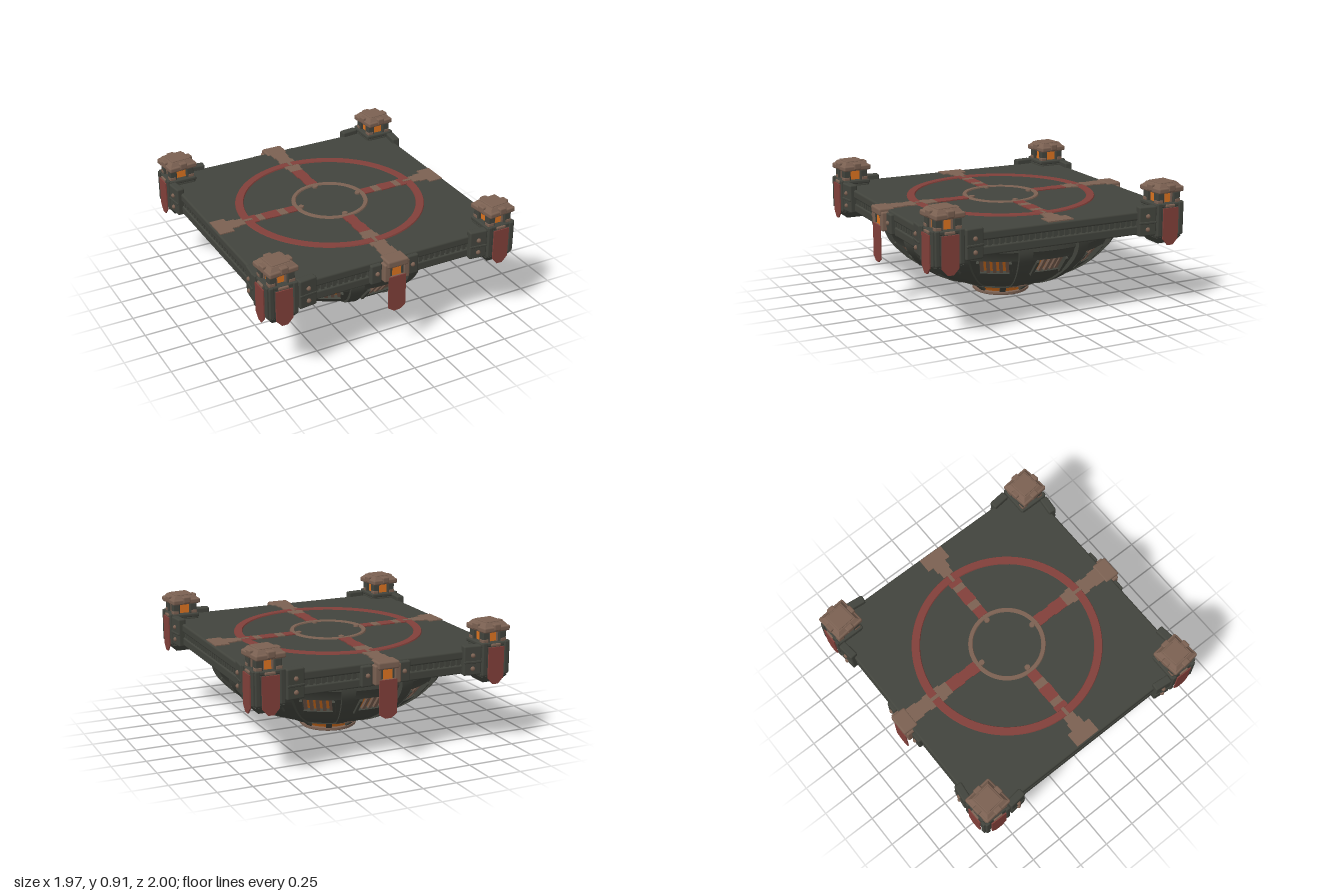
import * as THREE from 'three';
import { toCreasedNormals } from 'three/addons/utils/BufferGeometryUtils.js';
import { RoundedBoxGeometry } from 'three/addons/geometries/RoundedBoxGeometry.js';

const material = (name, color) => {
  const m = new THREE.MeshStandardMaterial({ color });
  m.name = name;
  return m;
};
const DARK = material('dark iron', 0x42443d);
const BROWN = material('bronze brown', 0x7b6152);
const RED = material('banner red', 0x82403a);
const GLOW = material('ember orange', 0xdd7420);
const V2 = (p) => new THREE.Vector2(p[0], p[1]);

function add(parent, name, geometry, mat, x = 0, y = 0, z = 0) {
  const mesh = new THREE.Mesh(geometry, mat);
  mesh.name = name;
  mesh.position.set(x, y, z);
  parent.add(mesh);
  return mesh;
}
function box(parent, name, mat, w, h, d, x, y, z, r = 0) {
  const g = r ? new RoundedBoxGeometry(w, h, d, 2, r) : new THREE.BoxGeometry(w, h, d);
  return add(parent, name, g, mat, x, y, z);
}
function lathe(parent, name, mat, pts, seg = 72, start = 0, length = Math.PI * 2) {
  const g = new THREE.LatheGeometry(pts.map(V2), seg, start, length);
  return add(parent, name, toCreasedNormals(g, 0.5), mat);
}
function group(parent, name, x = 0, y = 0, z = 0, turn = 0) {
  const g = new THREE.Group();
  g.name = name;
  g.position.set(x, y, z);
  g.rotation.y = turn;
  parent.add(g);
  return g;
}
// Hanging cloth or shield with a pointed lower end
function banner(parent, name, mat, w, top, shoulder, tip, x, z, depth = 0.009) {
  const h = w / 2;
  const s = new THREE.Shape([[-h, top], [-h, shoulder], [-h * 0.35, tip], [h * 0.35, tip], [h, shoulder], [h, top]].map(V2));
  return add(parent, name, new THREE.ExtrudeGeometry(s, { depth, bevelEnabled: false }), mat, x, 0, z);
}
function bolt(parent, x, y, z) {
  add(parent, 'bolt', new THREE.SphereGeometry(0.017, 10, 8), BROWN, x, y, z);
}

// Square deck with a toothed groove around its edge
function addDeck(root) {
  const deck = group(root, 'deck');
  box(deck, 'deckTop', DARK, 1.86, 0.065, 1.86, 0, 0.69, 0, 0.015);
  box(deck, 'deckGroove', DARK, 1.8, 0.06, 1.8, 0, 0.635, 0);
  box(deck, 'deckBeam', DARK, 1.85, 0.065, 1.85, 0, 0.585, 0, 0.012);
  for (let k = 0; k < 4; k++) {
    const side = group(deck, 'deckEdge', 0, 0, 0, k * Math.PI / 2);
    for (let i = -13; i <= 13; i++) box(side, 'edgeTooth', DARK, 0.026, 0.045, 0.02, i * 0.045, 0.637, 0.907);
  }
}

// Rings and straps inlaid on the deck
function addDial(root) {
  const dial = group(root, 'dial');
  const ring = (name, mat, ri, ro, top) =>
    lathe(dial, name, mat, [[ro, 0.715], [ro - 0.008, top], [ri + 0.008, top], [ri, 0.715]], 80);
  ring('outerRing', RED, 0.63, 0.7, 0.731);
  ring('innerRing', BROWN, 0.245, 0.287, 0.731);
  const longStrap = [[0.28, 0.35, 0.09, RED], [0.35, 0.42, 0.08, RED], [0.42, 0.47, 0.095, RED],
    [0.47, 0.535, 0.09, RED], [0.535, 0.59, 0.1, BROWN], [0.59, 0.635, 0.12, BROWN],
    [0.695, 0.74, 0.12, BROWN], [0.74, 0.8, 0.1, BROWN], [0.8, 0.9, 0.12, BROWN]];
  const crossStrap = [[0.28, 0.36, 0.08, RED], [0.36, 0.42, 0.085, BROWN], [0.42, 0.48, 0.095, RED],
    [0.48, 0.54, 0.09, RED], [0.54, 0.59, 0.085, BROWN], [0.59, 0.635, 0.1, RED],
    [0.695, 0.75, 0.085, BROWN], [0.75, 0.815, 0.11, BROWN], [0.81, 0.92, 0.195, BROWN]];
  for (let k = 0; k < 4; k++) {
    const spoke = group(dial, 'spoke', 0, 0, 0, k * Math.PI / 2);
    for (const [a, b, w, mat] of k % 2 ? crossStrap : longStrap)
      box(spoke, 'strapLink', mat, w, 0.012, b - a, 0, 0.724, (a + b) / 2);
    box(spoke, 'ringSeam', BROWN, 0.025, 0.008, 0.07, 0, 0.729, 0.665);
    add(spoke, 'ringKnob', new THREE.CylinderGeometry(0.02, 0.022, 0.016, 12), BROWN, 0, 0.727, 0.235);
  }
}

// Corner lantern post with banners and bolted brackets on its two outer faces
function addCorner(root, k) {
  const c = group(root, 'cornerPost', 0, 0, 0, k * Math.PI / 2);
  const p = group(c, 'post', 0.855, 0, 0.855);
  box(p, 'postBody', DARK, 0.215, 0.24, 0.215, 0, 0.63, 0, 0.025);
  const foot = new THREE.CylinderGeometry(0.15, 0.1, 0.05, 4).rotateY(Math.PI / 4);
  add(p, 'postFoot', toCreasedNormals(foot, 0.4), DARK, 0, 0.495, 0);
  box(p, 'postCollar', DARK, 0.22, 0.03, 0.22, 0, 0.75, 0, 0.01);
  box(p, 'lanternGlow', GLOW, 0.135, 0.08, 0.135, 0, 0.8, 0);
  for (const x of [-1, 1]) for (const z of [-1, 1]) {
    box(p, 'lanternPillar', DARK, 0.055, 0.08, 0.055, x * 0.067, 0.8, z * 0.067, 0.008);
    box(p, 'lanternFoot', BROWN, 0.05, 0.03, 0.05, x * 0.072, 0.775, z * 0.072, 0.008);
  }
  const cap = group(p, 'lanternCap', 0, 0, 0, 0.1);
  box(cap, 'capPlate', BROWN, 0.225, 0.04, 0.225, 0, 0.858, 0, 0.012);
  const crown = new THREE.CylinderGeometry(0.11, 0.145, 0.03, 4).rotateY(Math.PI / 4);
  add(cap, 'capCrown', toCreasedNormals(crown, 0.4), BROWN, 0, 0.888, 0);
  box(cap, 'capTop', BROWN, 0.14, 0.02, 0.14, 0, 0.9, 0, 0.006);
  box(cap, 'capBand', BROWN, 0.06, 0.05, 0.235, 0, 0.872, 0, 0.01);
  box(cap, 'capBand', BROWN, 0.235, 0.05, 0.06, 0, 0.872, 0, 0.01);
  for (const s of [1, -1]) {
    const face = group(p, 'postFace', 0, 0, 0, s > 0 ? 0 : Math.PI / 2);
    banner(face, 'cornerBanner', RED, 0.125, 0.735, 0.51, 0.465, 0, 0.117);
    for (const e of [-1, 1]) box(face, 'faceRail', DARK, 0.035, 0.24, 0.025, e * 0.088, 0.65, 0.109, 0.008);
    box(face, 'faceClasp', BROWN, 0.075, 0.02, 0.02, 0, 0.748, 0.112, 0.006);
    for (const e of [-1, 1]) box(face, 'glowFrame', BROWN, 0.015, 0.07, 0.015, e * 0.034, 0.8, 0.068);
    const bracket = group(face, 'bracket', -0.18 * s, 0, 0.083, -0.11 * s);
    box(bracket, 'bracketPlate', DARK, 0.135, 0.215, 0.06, 0, 0.653, 0, 0.012);
    box(bracket, 'bracketRidge', DARK, 0.13, 0.018, 0.07, 0, 0.642, 0, 0.006);
    for (const y of [0.595, 0.69]) bolt(bracket, 0, y, 0.03);
  }
}

// Middle clasp with a long banner, front and back
function addClasp(root, turn) {
  const c = group(root, 'edgeClasp', 0, 0, 0, turn);
  for (const s of [-1, 1]) {
    box(c, 'claspWing', DARK, 0.085, 0.15, 0.06, s * 0.145, 0.635, 0.925, 0.012);
    bolt(c, s * 0.14, 0.64, 0.955);
    box(c, 'claspSide', BROWN, 0.05, 0.14, 0.08, s * 0.075, 0.64, 0.945, 0.012);
  }
  box(c, 'claspTop', BROWN, 0.165, 0.055, 0.12, 0, 0.706, 0.938, 0.014);
  box(c, 'claspGlow', GLOW, 0.11, 0.08, 0.05, 0, 0.64, 0.945);
  for (const s of [-1, 1]) box(c, 'claspBar', DARK, 0.015, 0.07, 0.01, s * 0.045, 0.645, 0.972);
  box(c, 'claspSill', BROWN, 0.13, 0.03, 0.07, 0, 0.59, 0.945, 0.01);
  banner(c, 'longBanner', RED, 0.135, 0.605, 0.36, 0.33, 0, 0.981);
}

// Ribbed bowl with twelve slatted, glowing windows
function addBowl(root) {
  const bowl = group(root, 'bowl');
  const rad = Math.PI / 180;
  lathe(bowl, 'lowerBowl', DARK, [[0.2, 0.1], [0.3, 0.105], [0.4, 0.128], [0.5, 0.165], [0.59, 0.215],
    [0.665, 0.27], [0.715, 0.315], [0.67, 0.325]]);
  lathe(bowl, 'upperBowl', DARK, [[0.75, 0.425], [0.81, 0.43], [0.835, 0.49], [0.845, 0.5], [0.845, 0.56]]);
  lathe(bowl, 'windowGlow', GLOW, [[0.655, 0.305], [0.77, 0.44]]);
  const outer = new THREE.CatmullRomCurve3([[0.27, 0.1], [0.46, 0.142], [0.585, 0.2], [0.68, 0.262],
    [0.775, 0.345], [0.838, 0.42], [0.87, 0.49], [0.875, 0.565]].map(([r, y]) => new THREE.Vector3(0, y, r)));
  for (let i = 0; i < 12; i++) {
    const a = i * 30 * rad;
    lathe(bowl, 'windowPier', DARK, [[0.715, 0.315], [0.81, 0.43]], 5, a + 8.5 * rad, 13 * rad);
    // Slats lean along the slope of the bowl wall
    const win = group(bowl, 'window', 0, 0, 0, a);
    for (let j = -2; j <= 2; j++) {
      const slat = box(win, 'windowSlat', BROWN, 0.024, 0.165, 0.022, j * 0.045, 0.372, 0.735 - 0.004 * j * j);
      slat.rotation.x = 0.7;
    }
    for (const s of [-1, 1]) {
      const jamb = box(win, 'windowJamb', DARK, 0.02, 0.16, 0.07, s * 0.114, 0.375, 0.731);
      jamb.rotation.x = 0.7;
    }
    // Rib: a bar bent along the curve, widening upward
    const g = new THREE.BoxGeometry(1, 1, 1, 1, 16, 1);
    const pos = g.attributes.position;
    for (let n = 0; n < pos.count; n++) {
      const t = pos.getY(n) + 0.5;
      const q = outer.getPoint(t);
      const d = outer.getTangent(t);
      const drop = (0.5 - pos.getZ(n)) * 0.055;
      pos.setXYZ(n, pos.getX(n) * (0.045 + 0.06 * t), q.y + d.z * drop, q.z - d.y * drop);
    }
    g.computeVertexNormals();
    add(bowl, 'rib', g, DARK).rotation.y = a + 15 * rad;
  }
}

// Glowing foot below the bowl
function addFoot(root) {
  const foot = group(root, 'foot');
  lathe(foot, 'footCollar', DARK, [[0.3, 0.086], [0.318, 0.09], [0.318, 0.112], [0.27, 0.116]]);
  lathe(foot, 'collarUnderside', BROWN, [[0.25, 0.08], [0.3, 0.086]]);
  lathe(foot, 'footGlow', GLOW, [[0.185, 0.02], [0.2, 0.045], [0.255, 0.09]]);
  lathe(foot, 'footRim', BROWN, [[0.155, 0.008], [0.16, 0], [0.205, 0], [0.212, 0.006], [0.212, 0.022], [0.18, 0.026]]);
  lathe(foot, 'footInset', DARK, [[0.11, 0.014], [0.16, 0.004]]);
  lathe(foot, 'footLens', RED, [[0, 0.012], [0.125, 0.012]], 48);
  for (let i = 0; i < 8; i++) {
    const arm = group(foot, 'footArm', 0, 0, 0, (i + 0.5) * Math.PI / 4);
    box(arm, 'footStrut', DARK, 0.045, 0.022, 0.11, 0, 0.062, 0.238, 0.006).rotation.x = -0.65;
  }
  for (let i = 0; i < 4; i++) {
    const clip = group(foot, 'collarClip', 0, 0, 0, i * Math.PI / 2);
    box(clip, 'collarPlate', BROWN, 0.12, 0.02, 0.03, 0, 0.1, 0.308, 0.005);
  }
}

export function createModel() {
  const root = new THREE.Group();
  root.name = 'floatingPlatform';
  addDeck(root);
  addDial(root);
  for (let k = 0; k < 4; k++) addCorner(root, k);
  addClasp(root, 0);
  addClasp(root, Math.PI);
  addBowl(root);
  addFoot(root);
  return root;
}
